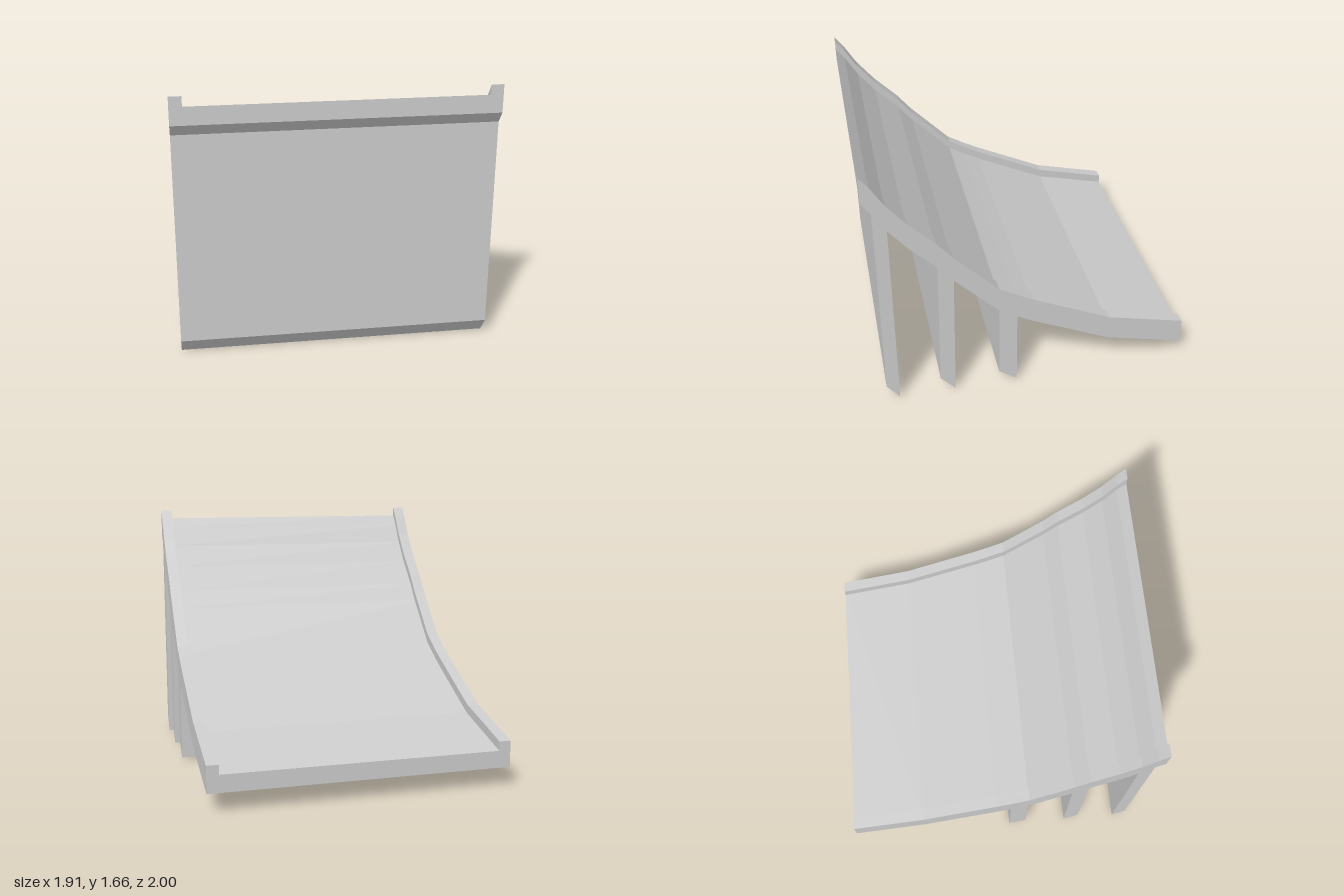
import * as THREE from 'three';

const HALF_WIDTH = 0.955;
const RAIL_WIDTH = 0.075;
const RAIL_HEIGHT = 0.06;

// Side profiles as [z, y], from the high front edge to the low back edge
const railTop = [
  [1, 1.66], [0.945, 1.59], [0.865, 1.46], [0.75, 1.32], [0.59, 1.16], [0.495, 1.045],
  [0.22, 0.765], [0.105, 0.7], [0, 0.645], [-0.5, 0.415], [-1, 0.295],
];
const underside = [
  [1, 1.49], [0.945, 1.42], [0.865, 1.29], [0.75, 1.15], [0.59, 0.99], [0.495, 0.875],
  [0.22, 0.6], [0.105, 0.53], [0, 0.475], [-0.5, 0.245], [-1, 0.125],
];
const bedTop = railTop.map(([z, y]) => [z, y - RAIL_HEIGHT]);

// Walls reach from the underside down to slanted feet
const walls = {
  frontWall: [[0.945, 1.42], [0.865, 1.29], [0.865, 0], [0.945, 0.105]],
  middleWall: [[0.59, 0.99], [0.495, 0.875], [0.507, 0.003], [0.6, 0.105]],
  rearWall: [[0.22, 0.6], [0.105, 0.53], [0.105, 0.012], [0.22, 0.09]],
};

export function createModel() {
  const group = new THREE.Group();
  const material = new THREE.MeshStandardMaterial({ color: 0xcccccc, flatShading: true });

  // Extrude a [z, y] outline across x, from x0 to x1
  function addSlab(name, outline, x0, x1) {
    const shape = new THREE.Shape(outline.map(([z, y]) => new THREE.Vector2(z, y)));
    const geometry = new THREE.ExtrudeGeometry(shape, { depth: x1 - x0, bevelEnabled: false });
    geometry.rotateY(-Math.PI / 2).translate(x1, 0, 0);
    const mesh = new THREE.Mesh(geometry, material);
    mesh.name = name;
    group.add(mesh);
  }

  // Curved sliding bed
  addSlab('slopeBed', [...bedTop, ...[...underside].reverse()], -HALF_WIDTH, HALF_WIDTH);

  // Raised rails along both sides
  const rail = [...railTop, ...[...bedTop].reverse()];
  addSlab('leftRail', rail, HALF_WIDTH - RAIL_WIDTH, HALF_WIDTH);
  addSlab('rightRail', rail, -HALF_WIDTH, -HALF_WIDTH + RAIL_WIDTH);

  // Full-width supporting walls
  for (const [name, outline] of Object.entries(walls)) {
    addSlab(name, outline, -HALF_WIDTH, HALF_WIDTH);
  }
  return group;
}
